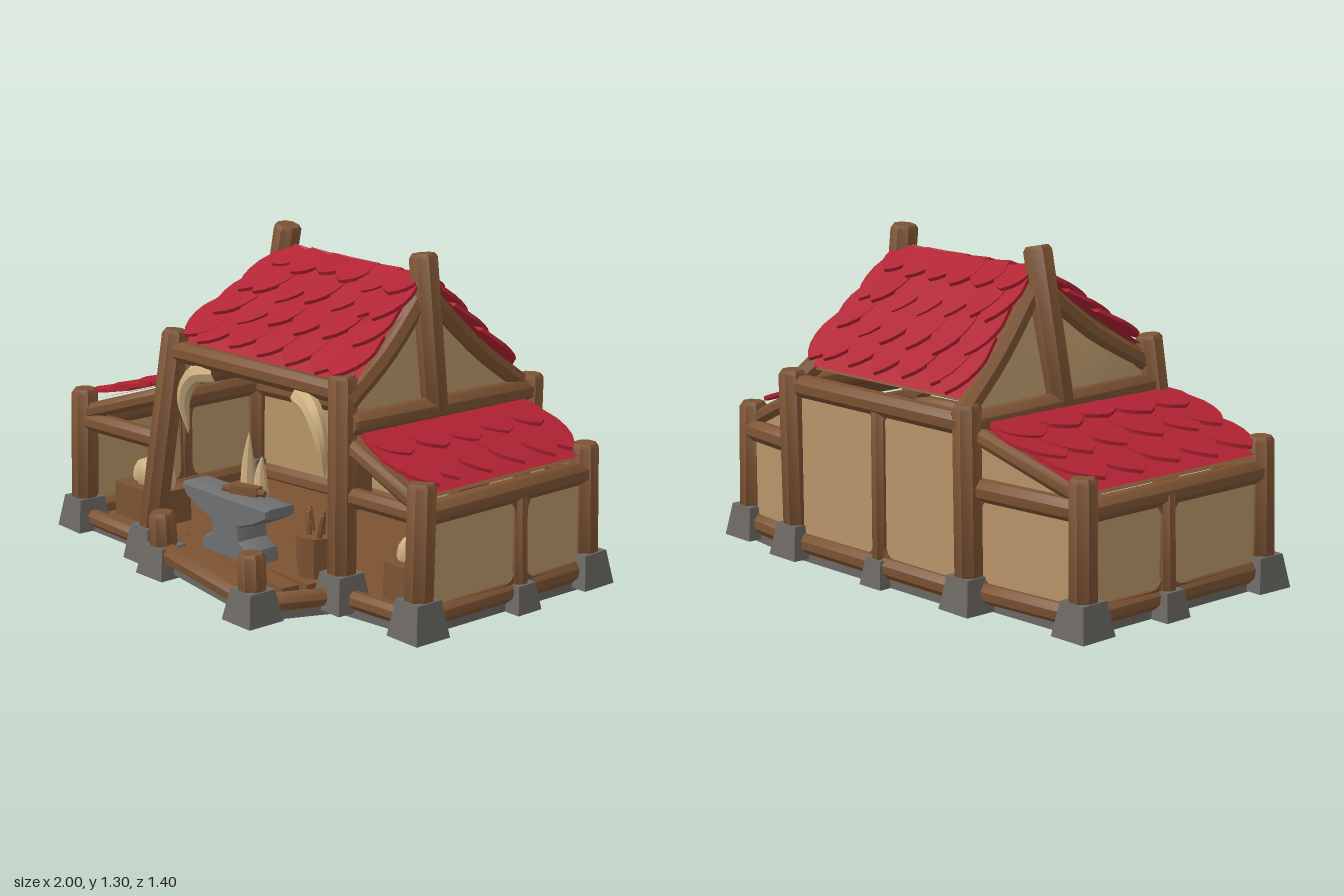
import * as THREE from 'three';
import { toCreasedNormals } from 'three/addons/utils/BufferGeometryUtils.js';

const V = (x, y, z) => new THREE.Vector3(x, y, z);
const mat = (name, color, side = THREE.FrontSide) => {
  const m = new THREE.MeshStandardMaterial({ color, side });
  m.name = name;
  return m;
};

export function createModel() {
  const wood = mat('wood', 0x7c5333, THREE.DoubleSide);
  const stone = mat('stone', 0x6c6864);
  const red = mat('red shingle', 0xb02233, THREE.DoubleSide);
  const plaster = mat('plaster', 0xb8966a, THREE.DoubleSide);
  const iron = mat('iron', 0x6e7072);
  const bone = mat('bone', 0xceb080);

  const root = new THREE.Group();
  root.name = 'smithy';
  let seed = 7;
  const rnd = () => ((seed = (seed * 16807) % 2147483647) / 2147483647) - 0.5;

  const add = (name, geo, material, x = 0, y = 0, z = 0, parent = root) => {
    const m = new THREE.Mesh(toCreasedNormals(geo, 0.6), material);
    m.name = name;
    m.position.set(x, y, z);
    parent.add(m);
    return m;
  };
  const box = (name, material, w, h, d, x, y, z) => add(name, new THREE.BoxGeometry(w, h, d), material, x, y, z);

  // Round timber between two points, with worn ends
  const log = (name, a, b, r) => {
    const h = a.distanceTo(b), e = r * 0.3;
    const pts = [[0, 0], [r * 0.8, 0], [r, e], [r, h - e], [r * 0.78, h], [0, h]].map(p => new THREE.Vector2(...p));
    const m = add(name, new THREE.LatheGeometry(pts, 8, Math.PI / 8), wood, a.x, a.y, a.z);
    m.quaternion.setFromUnitVectors(V(0, 1, 0), b.clone().sub(a).normalize());
    return m;
  };

  // Tapered square footing
  const footing = (x, z, half, y0, y1) => {
    const g = new THREE.CylinderGeometry(half * 0.72 * Math.SQRT2, half * Math.SQRT2, y1 - y0, 4);
    g.rotateY(Math.PI / 4 + rnd() * 0.08);
    add('footing', g, stone, x, (y0 + y1) / 2, z);
  };

  // Flat polygon face
  const face = (name, pts, material) => {
    const g = new THREE.BufferGeometry().setFromPoints(pts);
    const idx = [];
    for (let i = 1; i < pts.length - 1; i++) idx.push(0, i, i + 1);
    g.setIndex(idx);
    g.computeVertexNormals();
    return add(name, g, material);
  };

  // Floor: stone slab below, boards above
  const plan = [[-.92, .43], [-.47, .43], [-.28, .5], [.42, .6], [.54, .32], [.92, .27], [.93, -.6],
    [.56, -.64], [-.41, -.6], [-.45, -.53], [-.92, -.5]];
  const floor = new THREE.Shape(plan.map(([x, z]) => new THREE.Vector2(x, -z)));
  const slab = (name, m, y, depth) => add(name, new THREE.ExtrudeGeometry(floor, { depth, bevelEnabled: false }).rotateX(-Math.PI / 2), m, 0, y, 0);
  slab('foundation', stone, 0.015, 0.03);
  slab('floorBoards', wood, 0.045, 0.025);
  for (let i = 0; i < 3; i++) {
    const deck = box('porchBoard', wood, 0.68 + 0.05 * (2 - i), 0.05, 0.075, 0.06, 0.09, 0.33 + i * 0.08);
    deck.rotation.y = -0.05 * (i + 1);
  }

  // Posts: base x, z, top x, z, top y, radius, footing bottom and top
  const posts = [
    [-.915, .42, -.91, .41, .60, .055, .02, .15], [-.915, -.49, -.91, -.49, .59, .055, .02, .15],
    [-.45, .43, -.40, .33, .92, .055, 0, .14], [.54, .30, .52, .28, .905, .056, .035, .17],
    [.56, -.63, .56, -.64, .77, .056, .03, .16], [-.41, -.58, -.40, -.58, .78, .056, .02, .15],
    [.92, .27, .91, .25, .585, .056, .02, .16], [.915, -.59, .91, -.58, .58, .055, .03, .16],
    [-.27, .50, -.27, .51, .25, .054, 0, .12], [.405, .61, .40, .61, .275, .054, .02, .14],
  ];
  for (const [bx, bz, tx, tz, ty, r, f0, f1] of posts) {
    footing(bx, bz, 0.08, f0, f1);
    log('post', V(bx, f1 - 0.06, bz), V(tx, ty, tz), r);
  }
  for (const [x, z, top] of [[-.94, -.1, .48], [.935, -.22, .48], [.06, -.61, .72]]) {
    footing(x, z, 0.06, 0.015, 0.12);
    log('wallPost', V(x, 0.06, z), V(x * 0.985, top, z), 0.036);
  }

  // Wall panel: plaster plate inside a rounded timber frame
  const wall = (x0, z0, x1, z1, y0, y1) => {
    const w = Math.hypot(x1 - x0, z1 - z0), h = y1 - y0, a = w / 2 - 0.03, b = h / 2 - 0.025, r = 0.06;
    const s = new THREE.Shape([[-w / 2, -h / 2], [w / 2, -h / 2], [w / 2, h / 2], [-w / 2, h / 2]].map(p => new THREE.Vector2(...p)));
    const hole = new THREE.Path();
    hole.moveTo(-a + r, -b);
    hole.lineTo(a - r, -b); hole.quadraticCurveTo(a, -b, a, -b + r);
    hole.lineTo(a, b - r); hole.quadraticCurveTo(a, b, a - r, b);
    hole.lineTo(-a + r, b); hole.quadraticCurveTo(-a, b, -a, b - r);
    hole.lineTo(-a, -b + r); hole.quadraticCurveTo(-a, -b, -a + r, -b);
    s.holes.push(hole);
    const g = new THREE.Group();
    g.name = 'wallPanel';
    g.position.set((x0 + x1) / 2, (y0 + y1) / 2, (z0 + z1) / 2);
    g.rotation.y = Math.atan2(z0 - z1, x1 - x0);
    add('panelFrame', new THREE.ExtrudeGeometry(s, { depth: 0.036, bevelEnabled: false, curveSegments: 4 }), wood, 0, 0, -0.018, g);
    add('panelPlaster', new THREE.BoxGeometry(w, h, 0.018), plaster, 0, 0, 0, g);
    root.add(g);
  };
  // Each run of wall: ends, dividing points and top height
  const runs = [
    [[[.92, .27], [.925, -.22], [.915, -.59]], .47], [[[-.915, .42], [-.925, -.1], [-.915, -.49]], .47],
    [[[-.41, -.59], [.06, -.605], [.56, -.63]], .71], [[[-.915, -.49], [-.42, -.55]], .47], [[[.56, -.62], [.915, -.59]], .47],
  ];
  for (const [p, top] of runs) {
    for (let i = 0; i < p.length - 1; i++) wall(...p[i], ...p[i + 1], 0.1, top);
    const a = p[0], b = p[p.length - 1];
    log('sillBeam', V(a[0], 0.09, a[1]), V(b[0], 0.09, b[1]), 0.042);
    log('topBeam', V(a[0], top, a[1]), V(b[0], top, b[1]), 0.045);
  }

  // Front beams and braces
  const beams = [
    [-.40, .84, .34, .53, .84, .29, .042], [-.91, .47, .41, -.43, .48, .39, .04], [.53, .46, .28, .91, .46, .25, .036],
    [-.91, .07, .42, -.45, .07, .43, .035], [.54, .08, .3, .92, .08, .27, .035], [-.27, .09, .5, .4, .09, .61, .042],
    [-.45, .07, .43, -.27, .08, .5, .035], [.54, .08, .3, .4, .08, .6, .035],
    [.55, .65, .27, .91, .49, .25, .034], [-.43, .66, .37, -.91, .5, .41, .034],
    [.56, .66, -.6, .91, .5, -.57, .034], [-.42, .67, -.55, -.91, .51, -.48, .034],
    [.56, .73, .28, .565, .71, -.63, .046], [-.41, .73, .34, -.41, .71, -.58, .046],
  ];
  for (const b of beams) log('beam', V(b[0], b[1], b[2]), V(b[3], b[4], b[5]), b[6]);
  face('wingGable', [V(.55, .46, -.61), V(.91, .46, -.585), V(.55, .66, -.61)], plaster);
  face('wingGable', [V(-.42, .47, -.55), V(-.91, .47, -.49), V(-.42, .67, -.55)], plaster);

  // Main gables: plaster, king post and curved rakes
  for (const [x0, x1, zf] of [[.55, .49, .29], [-.4, -.28, .33]]) {
    face('gable', [V(x0, .72, -.14), V(x0, .72, zf), V(x0, .83, zf), V((x0 + x1) / 2, .96, .08), V(x1, 1.17, -.14),
      V((x0 + x1) / 2, .97, -.35), V(x0, .75, -.6)], plaster);
    log('kingPost', V(x0 + Math.sign(x0) * 0.01, .71, -.135), V(x1, 1.292, -.135), 0.057);
    for (const [z, y] of [[zf, .81], [-.61, .73]]) {
      const mid = V((x0 + x1) / 2, (y + 1.14) / 2 - 0.025, (z - .14) / 2);
      const curve = new THREE.CatmullRomCurve3([V(x0, y, z), mid, V(x1, 1.15, -.14)]);
      add('rake', new THREE.TubeGeometry(curve, 8, 0.04, 7), wood);
    }
  }

  // Pointed shingle of unit size, tip at the origin
  const leaf = new THREE.Shape();
  leaf.moveTo(0, 0);
  leaf.quadraticCurveTo(.5, .2, .52, .6);
  leaf.lineTo(.4, 1); leaf.lineTo(-.4, 1); leaf.lineTo(-.52, .6);
  leaf.quadraticCurveTo(-.5, .2, 0, 0);
  const leafGeo = toCreasedNormals(new THREE.ExtrudeGeometry(leaf, { depth: 0.014, bevelEnabled: false, curveSegments: 4 }), 0.4);

  // Roof slope given by ridge left, ridge right, eave left, eave right
  const roof = (name, tl, tr, bl, br, rows, cols) => {
    const at = (u, v) => tl.clone().lerp(tr, u).lerp(bl.clone().lerp(br, u), v);
    const n = tr.clone().sub(tl).cross(tl.clone().sub(bl)).normalize();
    face(name + 'Deck', [tl, bl, br, tr], red);
    face(name + 'Lining', [tl, bl, br, tr].map(p => p.clone().addScaledVector(n, -0.018)), wood);
    const g = new THREE.Group();
    g.name = name + 'Shingles';
    for (let r = 0; r < rows; r++) {
      const odd = r % 2, v = (r + 1) / rows;
      for (let c = 0; c < cols + odd; c++) {
        const u = THREE.MathUtils.clamp((c + (odd ? 0 : 0.5)) / cols, 0.07, 0.93);
        const vt = v + (r < rows - 1 ? rnd() * 0.08 : rnd() * 0.05);
        const tip = at(u, vt).addScaledVector(n, 0.03 + rnd() * 0.012);
        const top = at(u, Math.max(0, v - 1.75 / rows)).addScaledVector(n, 0.004);
        const y = top.clone().sub(tip), len = y.length();
        y.normalize();
        const x = y.clone().cross(n).normalize(), z = x.clone().cross(y);
        const w = at(0, v).distanceTo(at(1, v)) / cols * 1.12;
        const m = new THREE.Mesh(leafGeo, red);
        m.name = 'shingle';
        m.quaternion.setFromRotationMatrix(new THREE.Matrix4().makeBasis(x, y, z));
        m.position.copy(tip);
        m.scale.set(w, len, 1);
        g.add(m);
      }
    }
    root.add(g);
  };
  roof('frontRoof', V(-.27, 1.2, -.14), V(.49, 1.2, -.14), V(-.42, .87, .31), V(.57, .86, .29), 4, 6);
  roof('backRoof', V(.49, 1.2, -.14), V(-.27, 1.2, -.14), V(.58, .78, -.58), V(-.37, .79, -.57), 4, 6);
  roof('leftWingRoof', V(.575, .68, .25), V(.575, .68, -.57), V(.925, .54, .25), V(.925, .54, -.55), 2, 5);
  roof('rightWingRoof', V(-.43, .70, -.52), V(-.43, .70, .39), V(-.93, .54, -.5), V(-.93, .54, .41), 3, 5);

  // Tapered horn along a curve
  const horn = (name, pts, r) => {
    const curve = new THREE.CatmullRomCurve3(pts), n = 14, k = 8;
    const g = new THREE.TubeGeometry(curve, n, r, k), p = g.attributes.position;
    for (let i = 0; i < p.count; i++) {
      const t = Math.floor(i / (k + 1)) / n, q = V(0, 0, 0).fromBufferAttribute(p, i);
      q.lerp(curve.getPointAt(t), t * t * 0.95);
      p.setXYZ(i, q.x, q.y, q.z);
    }
    add(name, g, bone);
  };
  for (const [cx, s] of [[-.17, -1], [.32, 1]])
    horn('entranceTusk', [V(cx, .79, .31), V(cx + s * .1, .765, .34), V(cx + s * .16, .67, .35), V(cx + s * .16, .52, .33)], 0.042);

  // Anvil
  const anvil = new THREE.Shape([[-.13, 0], [.16, 0], [.15, .04], [.09, .07], [.08, .13], [.17, .16], [.25, .2], [.25, .225],
    [-.25, .225], [-.22, .185], [-.14, .15], [-.07, .13], [-.06, .07], [-.12, .04]].map(p => new THREE.Vector2(...p)));
  add('anvil', new THREE.ExtrudeGeometry(anvil, { depth: .1, bevelSize: .008, bevelThickness: .02, bevelSegments: 1 }), iron, .02, .135, .32);
  box('hammerHead', wood, .12, .035, .045, .06, .385, .36).rotation.y = .3;
  log('hammerHandle', V(-.04, .378, .39), V(.15, .385, .34), .014);

  // Storage boxes in the wings with bundled goods
  for (const [x, z, w] of [[-.69, .24, .27], [.75, .1, .21]]) {
    box('crate', wood, w, .14, .18, x, .145, z);
    for (let i = 0; i < 4; i++)
      add('sack', new THREE.SphereGeometry(.045, 8, 6).scale(1, 1.6, 1), bone, x + (i - 1.5) * w * .2, .23 + (i % 2) * .02, z + rnd() * .05);
  }

  // Barrel, tool tub and workbench
  const barrel = [[0, 0], [.08, 0], [.1, .1], [.085, .2], [.07, .2], [.065, .17], [0, .17]].map(p => new THREE.Vector2(...p));
  add('barrel', new THREE.LatheGeometry(barrel, 12), wood, -.27, .07, .14);
  add('barrelContents', new THREE.CylinderGeometry(.062, .062, .01, 10), bone, -.27, .25, .14);
  add('toolTub', new THREE.CylinderGeometry(.075, .065, .2, 8), wood, .37, .17, .28);
  for (let i = 0; i < 4; i++) log('toolHandle', V(.34 + i * .02, .2, .26 + (i % 2) * .04), V(.31 + i * .04, .36, .26 + (i % 2) * .04), .012);
  box('workbench', wood, .75, .05, .2, .08, .36, -.46);
  for (const x of [-.26, .42]) box('benchLeg', wood, .06, .28, .16, x, .2, -.46);
  for (const [x, h] of [[-.25, .5], [-.17, .42]]) horn('boneSpike', [V(x, .26, .1), V(x, .36, .1), V(x + .01, h, .1)], .03);

  // Iron sheets and hood on the back wall
  for (const x of [-.01, .41]) box('ironSheet', iron, .13, .22, .025, x, .51, -.57);
  add('forgeHood', new THREE.CylinderGeometry(.03, .13, .26, 4), wood, .25, .51, -.46);
  return root;
}
